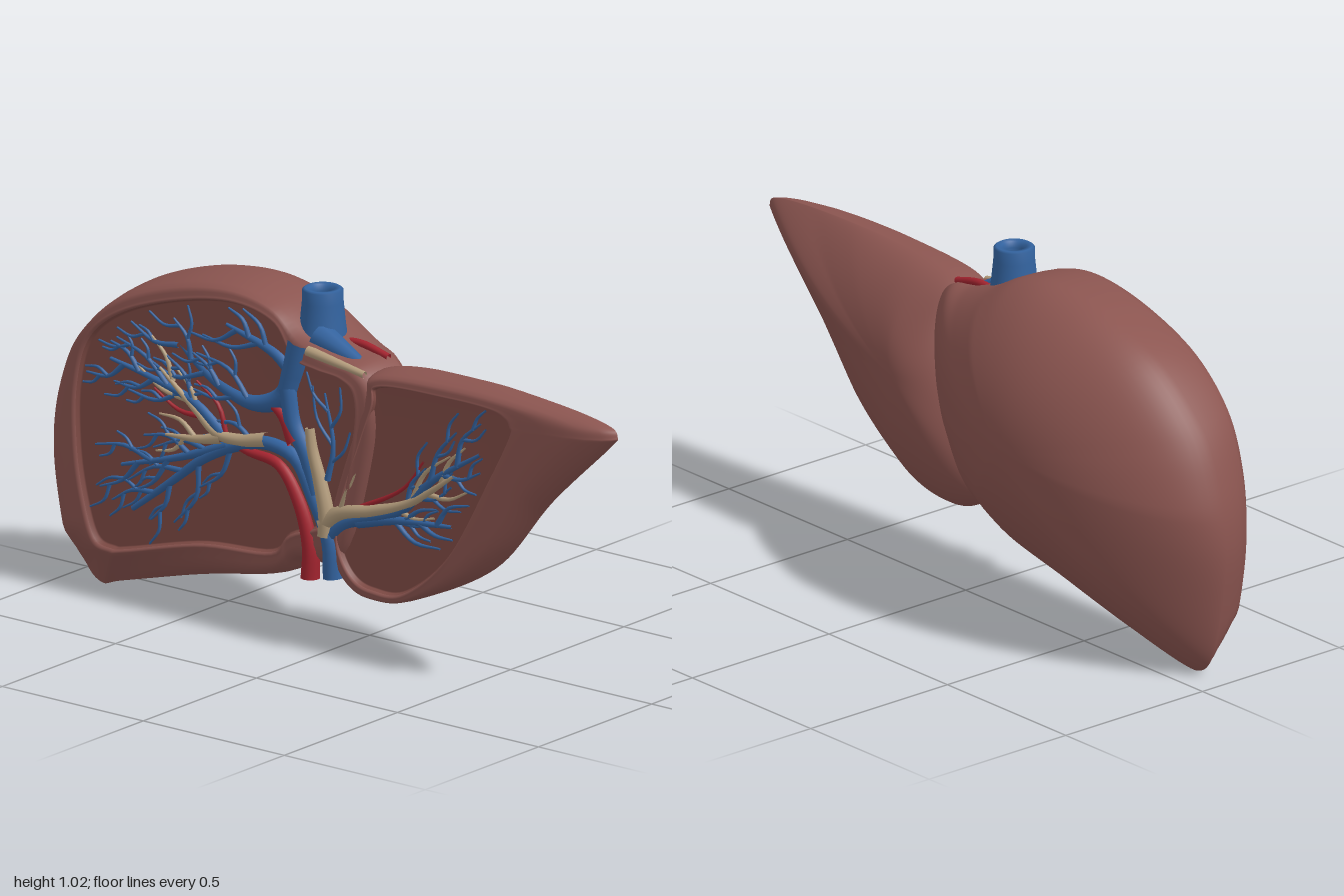
import * as THREE from 'three';
import { mergeGeometries } from 'three/addons/utils/BufferGeometryUtils.js';

const mat = (name, color, side = THREE.FrontSide) => {
  const m = new THREE.MeshStandardMaterial({ color, side });
  m.name = name;
  return m;
};
const clamp01 = (v) => Math.min(1, Math.max(0, v));
const lerp = THREE.MathUtils.lerp;

// Seeded random for the fine vessel twigs
let seed = 7;
const rand = () => ((seed = (seed * 16807) % 2147483647) / 2147483647);

// Each row: outer edge x, y, then cut-face edge x, y (counter-clockwise from the front)
const RIGHT = [
  [0.05, 0.87, -0.02, 0.82], [-0.08, 0.92, -0.1, 0.84], [-0.2, 0.98, -0.17, 0.93],
  [-0.35, 1, -0.32, 0.96], [-0.55, 0.97, -0.52, 0.925], [-0.75, 0.885, -0.72, 0.85],
  [-0.9, 0.73, -0.84, 0.75], [-0.975, 0.56, -0.885, 0.6], [-1, 0.4, -0.885, 0.42],
  [-0.98, 0.22, -0.86, 0.27], [-0.94, 0.06, -0.82, 0.16], [-0.88, 0, -0.76, 0.14],
  [-0.8, 0.02, -0.7, 0.15], [-0.5, 0.1, -0.43, 0.22], [-0.2, 0.17, -0.18, 0.245],
  [-0.1, 0.23, -0.11, 0.31], [0.08, 0.25, 0.06, 0.4], [0.2, 0.6, 0.12, 0.65],
  [0.19, 0.78, 0.12, 0.77], [0.14, 0.85, 0.07, 0.81],
];
const LEFT = [
  [0.5, 0.87, 0.45, 0.83], [0.18, 0.845, 0.2, 0.815], [0.13, 0.76, 0.17, 0.74],
  [0.03, 0.46, 0.07, 0.47], [0.02, 0.36, 0.05, 0.38], [0.03, 0.26, 0.055, 0.3],
  [0.08, 0.2, 0.1, 0.23], [0.16, 0.175, 0.17, 0.205], [0.3, 0.2, 0.29, 0.22],
  [0.56, 0.34, 0.45, 0.36], [0.76, 0.57, 0.6, 0.62], [0.97, 0.77, 0.672, 0.76],
  [1, 0.81, 0.672, 0.79], [0.96, 0.838, 0.655, 0.812], [0.78, 0.86, 0.6, 0.828],
];

// Lobe: shallow cut face (material 1), raised rim, rounded edge and domed back, built ring by ring
function lobeGeometry(rows, [cx, cy], backZ, edgeZ, power) {
  const N = 144, DOME = 24, W = 14, pos = [], idx = [], rings = [];
  const loop = (k) => {
    const curve = new THREE.CatmullRomCurve3(rows.map((r) => new THREE.Vector3(r[k], r[k + 1], 0)), true, 'catmullrom', 0.5);
    return Array.from({ length: N }, (_, i) => curve.getPoint(i / N));
  };
  const outer = loop(0), cut = loop(2);
  // Softened outline that the dome blends into, so dents fade towards the back
  const soft = outer.map((_, i) => {
    const sum = new THREE.Vector3();
    for (let k = -W; k <= W; k++) sum.add(outer[(i + k + N) % N]);
    return sum.divideScalar(2 * W + 1);
  });
  const face = [[0, 0.196], [0.6, 0.196], [0.955, 0.196], [0.965, 0.197], [0.975, 0.207], [0.985, 0.213], [1, 0.213]];
  for (const [t, z] of face) rings.push((s, c) => [lerp(cx, c.x, t), lerp(cy, c.y, t), z]);
  for (const [t, k] of [[0.1, 0.97], [0.3, 0.98], [0.55, 0.94], [0.75, 0.78], [0.9, 0.5], [0.97, 0.25]])
    rings.push((s, c) => {
      const chamfer = lerp(k, 1 - t, clamp01((0.15 - s.y) / 0.12));
      return [lerp(c.x, s.x, t), lerp(c.y, s.y, t), lerp(edgeZ(s), 0.213, chamfer)];
    });
  for (let j = 0; j <= DOME; j++) {
    const r = Math.cos((j / DOME) * Math.PI / 2), b = Math.pow(r, 4);
    rings.push((s, c, m) => [
      lerp(cx, lerp(m.x, s.x, b), r), lerp(cy, lerp(m.y, s.y, b), r),
      lerp(edgeZ(s), backZ, Math.pow(1 - r * r, lerp(power(m), power(s), b))),
    ]);
  }
  rings.forEach((ring, j) => {
    for (let i = 0; i < N; i++) {
      pos.push(...ring(outer[i], cut[i], soft[i]));
      if (j === rings.length - 1) continue;
      const a = j * N + i, b = j * N + ((i + 1) % N);
      idx.push(a, a + N, b, b, a + N, b + N);
    }
  });
  const g = new THREE.BufferGeometry();
  g.setAttribute('position', new THREE.Float32BufferAttribute(pos, 3));
  g.setIndex(idx);
  g.addGroup(0, 4 * N * 6, 1);
  g.addGroup(4 * N * 6, idx.length - 4 * N * 6, 0);
  g.computeVertexNormals();
  return g;
}

// Tube narrowing from r0 to r1
function taperedTube(points, z, r0, r1, steps = 40, sides = 10) {
  const curve = new THREE.CatmullRomCurve3(points.map(([x, y]) => new THREE.Vector3(x, y, z)));
  const g = new THREE.TubeGeometry(curve, steps, r0, sides, false);
  const p = g.attributes.position, v = new THREE.Vector3();
  for (let i = 0; i <= steps; i++) {
    const c = curve.getPointAt(i / steps), k = lerp(1, r1 / r0, i / steps);
    for (let j = 0; j <= sides; j++) {
      const n = i * (sides + 1) + j;
      v.fromBufferAttribute(p, n).sub(c).multiplyScalar(k).add(c);
      p.setXYZ(n, v.x, v.y, v.z);
    }
  }
  return { g, curve };
}

// True when a point lies within one of the cut faces
const inside = (x, y) => [RIGHT, LEFT].some((rows) => {
  let hit = false;
  rows.forEach((a, i) => {
    const b = rows[(i + 1) % rows.length];
    if (a[3] > y !== b[3] > y && x < ((b[2] - a[2]) * (y - a[3])) / (b[3] - a[3]) + a[2]) hit = !hit;
  });
  return hit;
});

// Side twigs that leave a branch, bend along it and fork again
function sprout(list, curve, r, count, length, forks, from) {
  for (let i = 0; i < count; i++) {
    const u = lerp(from, 0.95, (i + rand() * 0.5) / count), p = curve.getPointAt(u), d = curve.getTangentAt(u);
    const turn = (i % 2 ? 1 : -1) * (0.5 + rand() * 0.4);
    const a = Math.atan2(d.y, d.x) + turn;
    let len = length * (0.7 + rand() * 0.6);
    const end = (l, b) => [p.x + Math.cos(b) * l, p.y + Math.sin(b) * l];
    while (len > 0.03 && !inside(...end(len * 1.2, a - turn * 0.4))) len *= 0.8;
    if (len <= 0.03) continue;
    const twig = taperedTube([[p.x, p.y], end(len * 0.5, a), end(len, a - turn * 0.4)], 0.199, r, 0.003, 8, 6);
    list.push(twig.g);
    if (forks > 0) sprout(list, twig.curve, r * 0.65, 2, length * 0.5, forks - 1, 0.35);
  }
}

export function createModel() {
  const model = new THREE.Group();
  const tissue = mat('liver brown', 0x8b5550);
  const cutTissue = mat('cut face brown', 0x7f4b45);
  const blue = mat('vein blue', 0x33639f, THREE.DoubleSide);
  const red = mat('artery red', 0xa3242f, THREE.DoubleSide);
  const beige = mat('duct beige', 0xb39c7c, THREE.DoubleSide);
  const add = (name, geometry, material) => {
    const m = new THREE.Mesh(geometry, material);
    m.name = name;
    model.add(m);
    return m;
  };
  // Vessel with its twigs: path, depth, start and end radius, twig count, forks, where twigs begin
  const vessel = (name, material, path, z, r0, r1, twigs = 0, forks = 0, from = 0.35) => {
    const { g, curve } = taperedTube(path, z, r0, r1);
    const parts = [g];
    sprout(parts, curve, Math.min(0.009, r0 * 0.55), twigs, 0.17, forks, from);
    add(name, mergeGeometries(parts), material);
  };

  add('rightLobe', lobeGeometry(RIGHT, [-0.4, 0.6], -0.23,
    (s) => 0.09 - 0.04 * clamp01((s.y - 0.7) / 0.3),
    (s) => 0.5 + 0.3 * clamp01((0.5 - s.y) / 0.5) + 0.25 * clamp01((s.x + 0.1) / 0.25)), [tissue, cutTissue]);
  add('leftLobe', lobeGeometry(LEFT, [0.25, 0.58], -0.06,
    (s) => 0.13 + 0.02 * clamp01((s.x - 0.6) / 0.4),
    (s) => 0.5 + 0.45 * clamp01((s.x - 0.3) / 0.5)), [tissue, cutTissue]);

  // Portal vein and its branches
  vessel('portalVein', blue, [[0.03, 0.22], [0.02, 0.33], [-0.04, 0.45], [-0.1, 0.54], [-0.2, 0.565], [-0.3, 0.54], [-0.42, 0.48], [-0.55, 0.38], [-0.68, 0.28]], 0.198, 0.03, 0.008, 7, 1, 0.5);
  vessel('portalMiddleBranch', blue, [[-0.34, 0.53], [-0.52, 0.46], [-0.72, 0.4]], 0.198, 0.016, 0.005, 4, 1);
  vessel('portalUpperBranch', blue, [[-0.36, 0.56], [-0.46, 0.63], [-0.6, 0.67], [-0.76, 0.7]], 0.198, 0.017, 0.005, 6, 1, 0.25);
  vessel('portalLeftBranch', blue, [[0.02, 0.34], [0.08, 0.39], [0.28, 0.47], [0.38, 0.57], [0.55, 0.68]], 0.198, 0.022, 0.005, 6, 1);
  vessel('portalLowerLeftBranch', blue, [[0.12, 0.4], [0.25, 0.43], [0.45, 0.45]], 0.198, 0.018, 0.005, 4, 0);
  vessel('portalCentreBranch', blue, [[0.01, 0.5], [0.03, 0.6], [0, 0.75]], 0.198, 0.01, 0.003, 4, 0, 0.2);

  // Hepatic veins
  vessel('hepaticVein', blue, [[-0.09, 0.88], [-0.12, 0.78], [-0.15, 0.71], [-0.25, 0.67], [-0.38, 0.7], [-0.58, 0.83]], 0.186, 0.042, 0.006, 6, 1, 0.45);
  vessel('hepaticUpperVein', blue, [[-0.12, 0.79], [-0.18, 0.83], [-0.35, 0.88]], 0.196, 0.02, 0.005, 4, 0);
  vessel('hepaticMiddleVein', blue, [[-0.13, 0.74], [-0.11, 0.64], [-0.06, 0.55], [-0.03, 0.45]], 0.196, 0.028, 0.024);

  // Arteries
  vessel('artery', red, [[-0.05, 0.205], [-0.05, 0.3], [-0.09, 0.42], [-0.16, 0.51], [-0.28, 0.53], [-0.38, 0.57], [-0.48, 0.64]], 0.2, 0.028, 0.004, 2, 0, 0.75);
  vessel('upperArtery', red, [[-0.1, 0.59], [-0.15, 0.66], [-0.22, 0.69]], 0.2, 0.028, 0.006);
  vessel('leftArtery', red, [[0.1, 0.43], [0.28, 0.53], [0.35, 0.62]], 0.198, 0.009, 0.003);
  vessel('topArtery', red, [[-0.04, 0.87], [0.05, 0.875], [0.14, 0.855]], 0.09, 0.012, 0.01);

  // Bile ducts
  vessel('bileDuct', beige, [[0.01, 0.34], [0.01, 0.4], [-0.015, 0.5], [-0.04, 0.58], [-0.05, 0.64]], 0.203, 0.027, 0.014);
  vessel('leftBileDuct', beige, [[0, 0.37], [0.06, 0.415], [0.18, 0.445], [0.3, 0.49], [0.46, 0.6]], 0.203, 0.026, 0.005, 4, 0, 0.5);
  vessel('rightBileDuct', beige, [[-0.2, 0.575], [-0.3, 0.555], [-0.38, 0.56], [-0.45, 0.61], [-0.58, 0.71]], 0.204, 0.022, 0.004, 3, 0, 0.55);
  vessel('lowerBileDuct', beige, [[-0.36, 0.55], [-0.44, 0.53], [-0.56, 0.52]], 0.203, 0.018, 0.004, 2);
  vessel('fissureDuct', beige, [[0.06, 0.41], [0.09, 0.49], [0.13, 0.56]], 0.204, 0.014, 0.005);
  vessel('topLigament', beige, [[-0.06, 0.86], [0.04, 0.845], [0.14, 0.83]], 0.197, 0.016, 0.01);

  // Large hollow vein leaving the top, flaring into the tissue
  const profile = [[0.075, 0.78], [0.072, 0.86], [0.064, 0.92], [0.058, 0.98], [0.057, 1.015], [0.05, 1.02], [0.034, 1.018], [0.03, 1], [0.03, 0.93], [0, 0.93]];
  add('venaCava', new THREE.LatheGeometry(profile.map(([x, y]) => new THREE.Vector2(x, y)), 40), blue).position.set(-0.078, 0, 0.11);
  vessel('venaCavaBranch', blue, [[-0.06, 0.89], [0.01, 0.865], [0.09, 0.835]], 0.145, 0.045, 0.018);
  return model;
}
